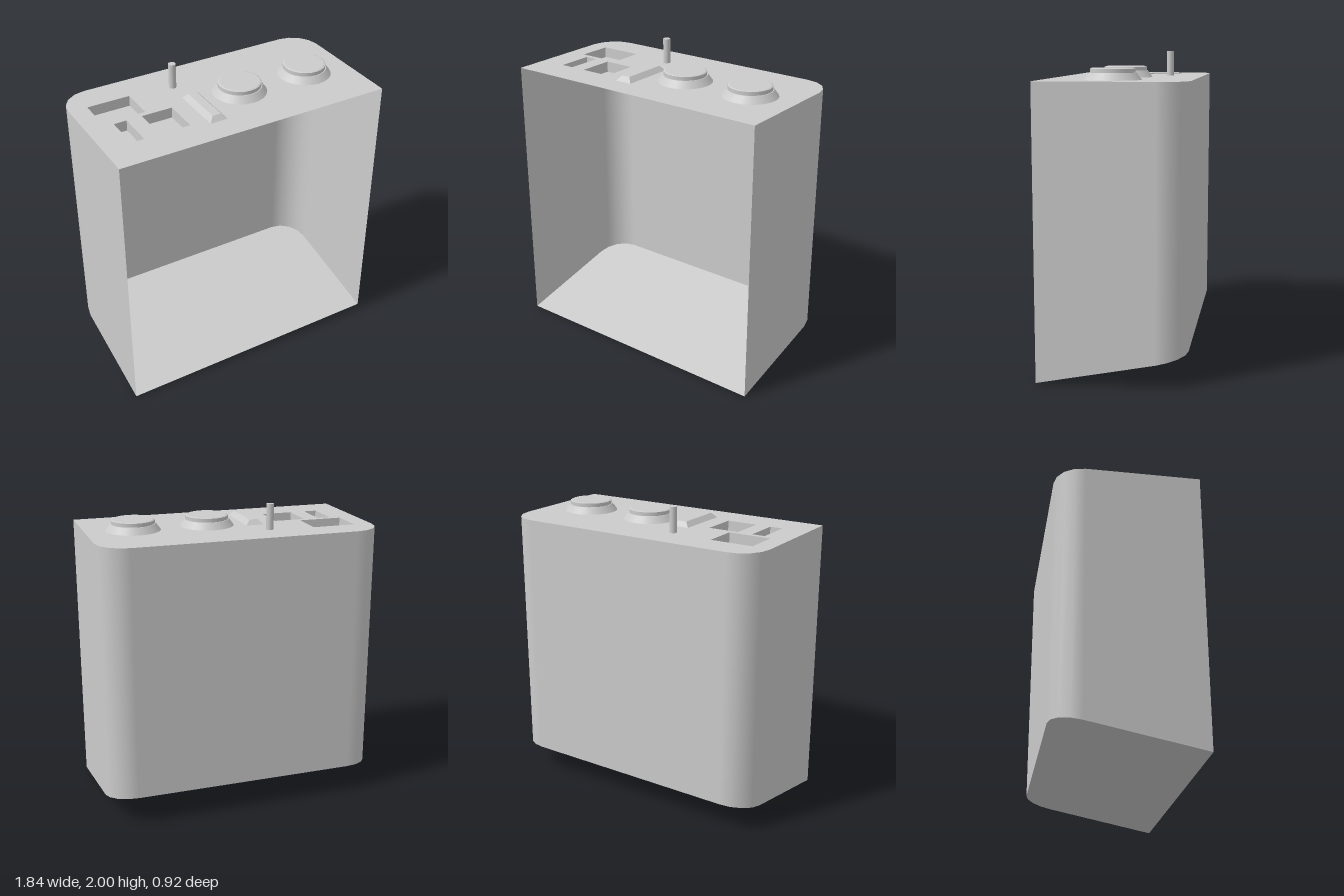
import * as THREE from 'three';

const HALF_W = 0.92, FRONT = 0.457, BACK = -0.463, TOP = 1.835, RADIUS = 0.185, RISE = 0.187;

const solid = new THREE.MeshStandardMaterial({ color: 0xcccccc });
const flat = new THREE.MeshStandardMaterial({ color: 0xcccccc, flatShading: true });
const sheet = new THREE.MeshStandardMaterial({ color: 0xcccccc, side: THREE.DoubleSide });

// Height of the sloping floor at depth z
const floorY = (z) => RISE * (FRONT - z) / (FRONT - BACK);

// Recesses in the top: x range, z range
const RECESSES = [
  [-0.80, -0.515, -0.262, -0.035],
  [-0.742, -0.657, 0, 0.24],
  [-0.555, -0.35, 0, 0.24],
];

function addMesh(parent, name, geometry, material, x = 0, y = 0, z = 0) {
  const mesh = new THREE.Mesh(geometry, material);
  mesh.name = name;
  mesh.position.set(x, y, z);
  parent.add(mesh);
  return mesh;
}

// Open U-shaped plan, from front left round the back to front right
function planPath() {
  const path = [{ x: HALF_W, z: FRONT, nx: 1, nz: 0 }];
  for (const side of [1, -1]) {
    for (let i = 0; i <= 4; i++) {
      const a = (side > 0 ? i : 4 - i) * Math.PI / 8;
      const nx = side * Math.cos(a), nz = -Math.sin(a);
      path.push({
        x: side * (HALF_W - RADIUS) + RADIUS * nx,
        z: BACK + RADIUS + RADIUS * nz, nx, nz,
      });
    }
  }
  path.push({ x: -HALF_W, z: FRONT, nx: -1, nz: 0 });
  return path;
}

// Walls: a plane grid wrapped around the plan, cut by the sloping floor
function wallGeometry(path) {
  const geo = new THREE.PlaneGeometry(1, 1, path.length - 1, 1);
  const { position, normal } = geo.attributes;
  for (let i = 0; i < position.count; i++) {
    const p = path[i % path.length];
    position.setXYZ(i, p.x, i < path.length ? TOP : floorY(p.z), p.z);
    normal.setXYZ(i, p.nx, 0, p.nz);
  }
  return geo;
}

function planShape(path) {
  return new THREE.Shape(path.map((p) => new THREE.Vector2(p.x, -p.z)));
}

// Box without its upper face
function recessGeometry(w, h, d) {
  const geo = new THREE.BoxGeometry(w, h, d);
  const index = Array.from(geo.index.array);
  index.splice(12, 6);
  geo.setIndex(index);
  geo.clearGroups();
  return geo;
}

export function createModel() {
  const model = new THREE.Group();
  model.name = 'controlBox';
  const path = planPath();

  addMesh(model, 'walls', wallGeometry(path), sheet);

  // Top panel with openings
  const topShape = planShape(path);
  for (const [x0, x1, z0, z1] of RECESSES) {
    topShape.holes.push(new THREE.Path([
      new THREE.Vector2(x0, -z0), new THREE.Vector2(x0, -z1),
      new THREE.Vector2(x1, -z1), new THREE.Vector2(x1, -z0),
    ]));
  }
  addMesh(model, 'topPanel', new THREE.ShapeGeometry(topShape).rotateX(-Math.PI / 2), sheet, 0, TOP);

  // Sloping floor
  const floor = new THREE.ShapeGeometry(planShape(path)).rotateX(-Math.PI / 2);
  const fp = floor.attributes.position;
  for (let i = 0; i < fp.count; i++) fp.setY(i, floorY(fp.getZ(i)));
  floor.computeVertexNormals();
  addMesh(model, 'floor', floor, sheet);

  // Recesses
  const depth = 0.07;
  for (const [x0, x1, z0, z1] of RECESSES) {
    addMesh(model, 'recess', recessGeometry(x1 - x0, depth, z1 - z0), sheet,
      (x0 + x1) / 2, TOP - depth / 2, (z0 + z1) / 2);
  }

  // Two knobs: tapered collar and a low cap
  for (const x of [0.12, 0.61]) {
    const knob = new THREE.Group();
    knob.name = 'knob';
    knob.position.set(x, TOP, 0.025);
    addMesh(knob, 'knobCollar', new THREE.CylinderGeometry(0.145, 0.177, 0.043, 24), solid, 0, 0.0215);
    addMesh(knob, 'knobCap', new THREE.CylinderGeometry(0.139, 0.139, 0.024, 24), solid, 0, 0.055);
    addMesh(knob, 'knobCapTop', new THREE.CylinderGeometry(0.13, 0.139, 0.004, 24), solid, 0, 0.069);
    model.add(knob);
  }

  // Bevelled bar: box with its upper corners drawn in
  const bar = new THREE.BoxGeometry(0.118, 0.032, 0.365);
  const bp = bar.attributes.position;
  for (let i = 0; i < bp.count; i++) {
    if (bp.getY(i) < 0) continue;
    bp.setX(i, bp.getX(i) - Math.sign(bp.getX(i)) * 0.03);
    bp.setZ(i, bp.getZ(i) - Math.sign(bp.getZ(i)) * 0.028);
  }
  addMesh(model, 'bar', bar, flat, -0.178, TOP + 0.016, 0.104);

  // Antenna
  addMesh(model, 'antenna', new THREE.CylinderGeometry(0.024, 0.024, 0.172, 16), solid, -0.224, 1.914, -0.23);

  return model;
}
